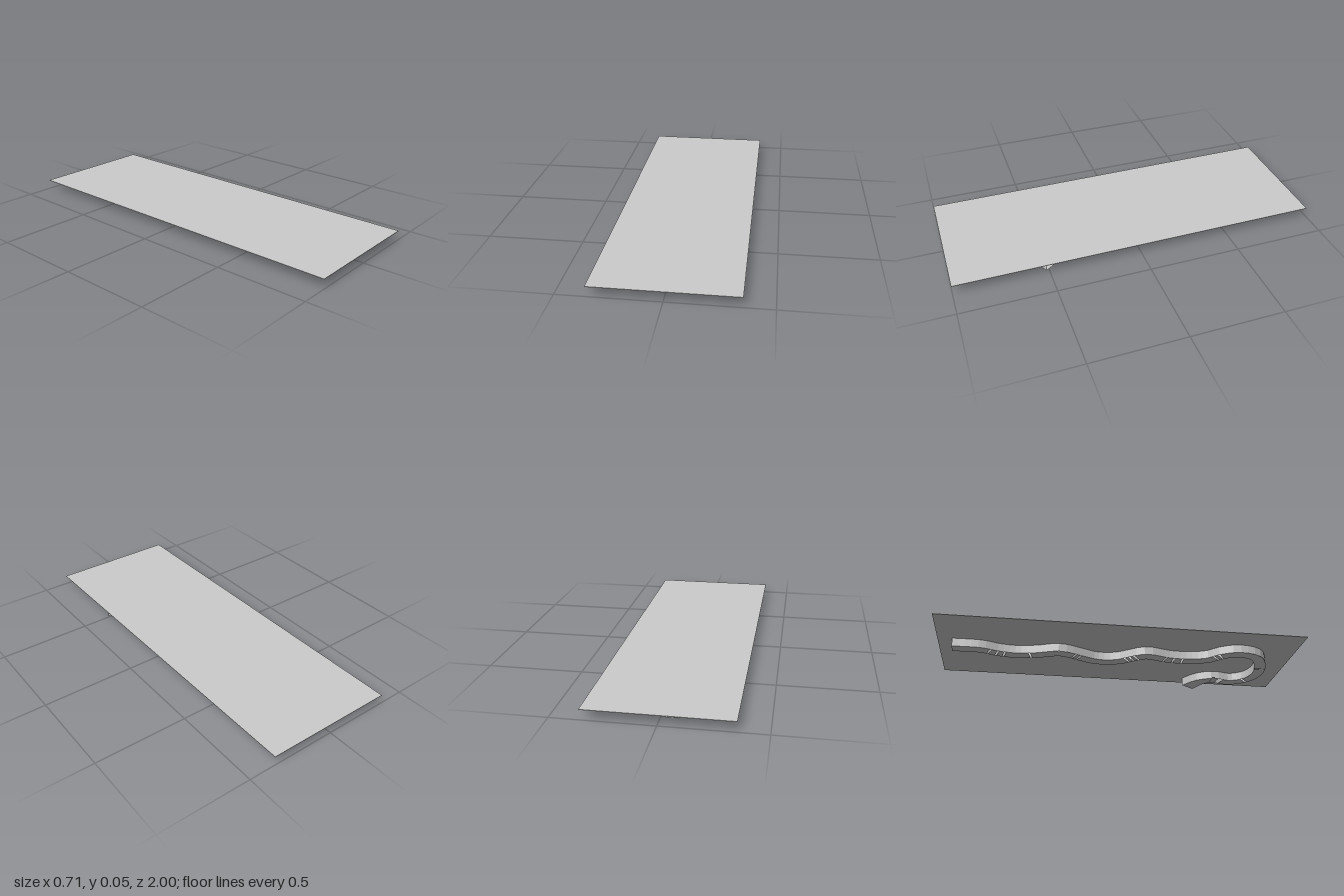
import * as THREE from 'three';

const TOP = 0.05, FLOOR = 0.003;

// Plan centreline of the winding channel, as x, z pairs
const PATH = [
  [-0.055, -0.92], [-0.053, -0.76], [-0.022, -0.67], [-0.01, -0.56], [-0.03, -0.45], [-0.066, -0.33],
  [-0.02, -0.205], [0.013, -0.12], [0, 0], [-0.05, 0.08], [-0.09, 0.15], [-0.06, 0.29],
  [-0.06, 0.41], [-0.09, 0.51], [-0.148, 0.575], [-0.182, 0.66], [-0.155, 0.765], [-0.05, 0.825],
  [0.06, 0.842], [0.15, 0.81], [0.195, 0.755], [0.208, 0.70], [0.19, 0.61], [0.22, 0.54], [0.311, 0.478],
];

// Slits across the floor: distance along the path (of 2.5) and width
const SLITS = [
  [0.2, 0.01], [0.245, 0.01], [0.285, 0.01], [0.43, 0.01], [0.68, 0.01], [0.71, 0.01],
  [1.0, 0.01], [1.03, 0.01], [1.06, 0.01], [1.23, 0.01], [1.28, 0.01], [1.33, 0.01],
  [1.53, 0.01], [1.56, 0.01], [1.93, 0.01], [2.12, 0.01], [2.28, 0.03],
];

export function createModel() {
  const model = new THREE.Group();
  const material = new THREE.MeshStandardMaterial({ color: 0xcccccc, flatShading: true, side: THREE.DoubleSide });
  const curve = new THREE.CatmullRomCurve3(PATH.map(([x, z]) => new THREE.Vector3(x, 0, z)));
  curve.arcLengthDivisions = 600;

  const add = (name, geometry, parent = model) => {
    const mesh = new THREE.Mesh(geometry, material);
    mesh.name = name;
    parent.add(mesh);
    return mesh;
  };

  // Point on one side (+1 or -1) of the channel; it flares a little at its last end
  const edge = (t, side, y) => {
    const p = curve.getPointAt(t), d = curve.getTangentAt(t);
    const half = 0.032 + 0.012 * THREE.MathUtils.smoothstep(t, 0.93, 1);
    return [p.x + d.z * half * side, y, p.z - d.x * half * side];
  };

  // Strip between two edge lines, from t0 to t1
  const strip = (t0, t1, lineA, lineB) => {
    const n = Math.max(1, Math.round((t1 - t0) * 72));
    const positions = [], index = [];
    for (let i = 0; i <= n; i++) {
      const t = THREE.MathUtils.lerp(t0, t1, i / n);
      positions.push(...lineA(t), ...lineB(t));
      if (i < n) index.push(2 * i, 2 * i + 1, 2 * i + 2, 2 * i + 1, 2 * i + 3, 2 * i + 2);
    }
    const g = new THREE.BufferGeometry();
    g.setAttribute('position', new THREE.Float32BufferAttribute(positions, 3));
    g.setIndex(index);
    g.computeVertexNormals();
    return g;
  };

  // Flat top plate
  add('plate', new THREE.BoxGeometry(0.71, 0.003, 2)).position.y = TOP + 0.0015;

  // Channel walls
  for (const [name, side] of [['leftWall', 1], ['rightWall', -1]]) {
    add(name, strip(0, 1, (t) => edge(t, side, TOP), (t) => edge(t, side, FLOOR)));
  }

  // Channel floor, in panels with slits between them
  const floor = new THREE.Group();
  floor.name = 'channelFloor';
  model.add(floor);
  let start = 0;
  for (const [at, width] of [...SLITS, [2.5, 0]]) {
    const end = (at - width / 2) / 2.5;
    add('floorPanel', strip(start, end, (t) => edge(t, 1, FLOOR), (t) => edge(t, -1, FLOOR)), floor);
    start = (at + width / 2) / 2.5;
  }

  // Low cross strip under the narrow bend
  const crossStrip = add('crossStrip', new THREE.BoxGeometry(0.085, 0.002, 0.015));
  crossStrip.position.set(0.178, 0.0018, 0.6);
  crossStrip.rotation.z = 0.02;

  return model;
}
